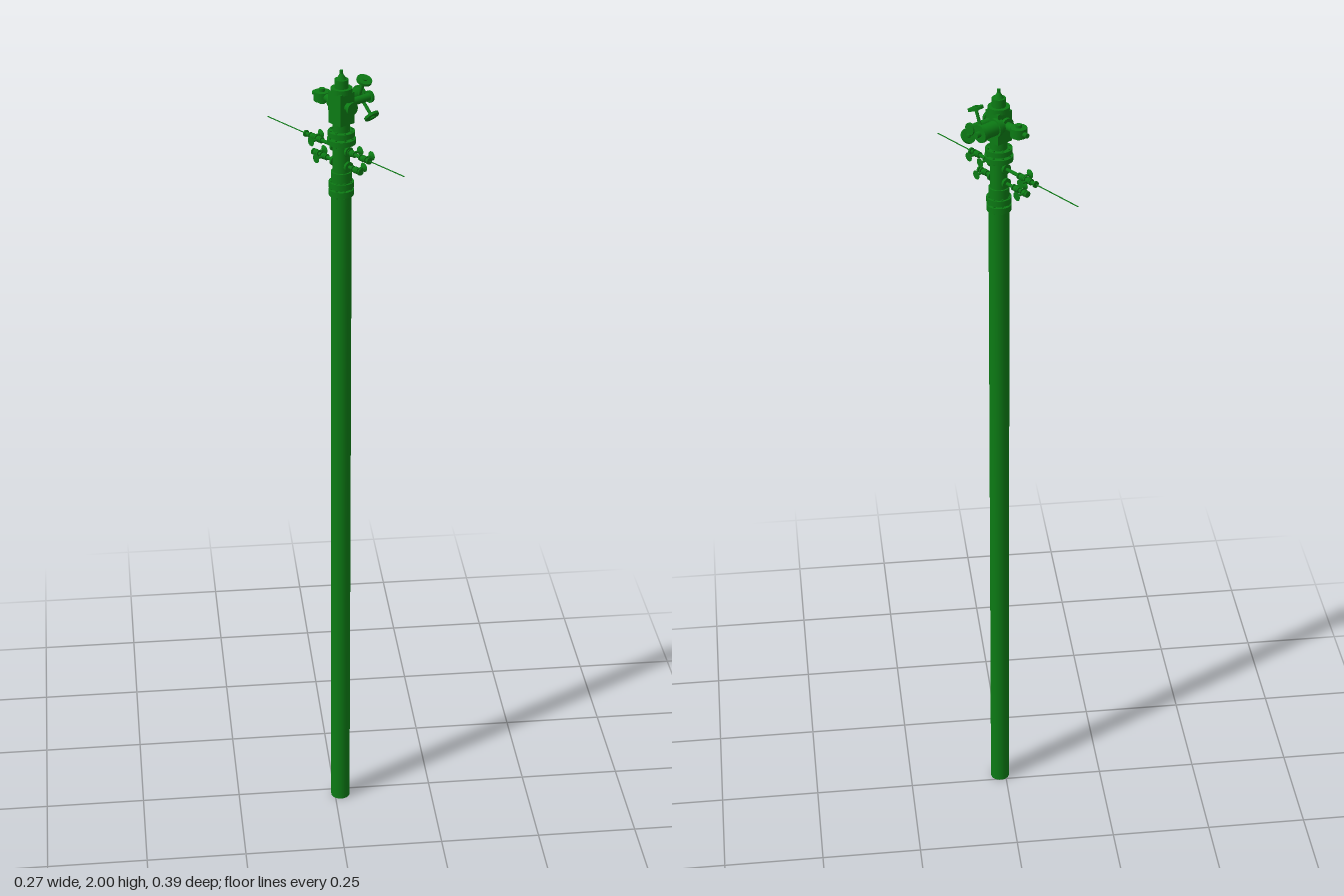
import * as THREE from 'three';

const green = new THREE.MeshStandardMaterial({ color: 0x0c7a14, side: THREE.DoubleSide });

function add(parent, name, geometry, x, y, z) {
  const mesh = new THREE.Mesh(geometry, green);
  mesh.name = name;
  mesh.position.set(x, y, z);
  parent.add(mesh);
  return mesh;
}

// Cylinder centred on a point, lying along the given axis
function rod(parent, name, axis, r, length, x, y, z, sides = 24) {
  const mesh = add(parent, name, new THREE.CylinderGeometry(r, r, length, sides), x, y, z);
  if (axis === 'x') mesh.rotation.z = Math.PI / 2;
  if (axis === 'z') mesh.rotation.x = Math.PI / 2;
  return mesh;
}

// Flange: disc with a ring of bolts, stacked on the vertical bore
function flange(parent, y, r, h) {
  const g = new THREE.Group();
  g.name = 'flange';
  rod(g, 'flangeDisc', 'y', r, h, 0, y, 0, 32);
  for (let i = 0; i < 8; i++) {
    const a = (i + 0.5) * Math.PI / 4;
    rod(g, 'flangeBolt', 'y', 0.0025, h + 0.006, Math.cos(a) * r * 0.83, y, Math.sin(a) * r * 0.83, 6);
  }
  parent.add(g);
}

// Small valve on a branch pipe: bonnet, stem and wheel pointing along x
function smallValve(parent, y, z, side) {
  const g = new THREE.Group();
  g.name = 'smallValve';
  g.position.set(0, y, z);
  add(g, 'valveBody', new THREE.SphereGeometry(0.008, 14, 10), 0, 0, 0);
  rod(g, 'valveStem', 'x', 0.003, 0.022, side * 0.011, 0, 0, 10);
  const wheel = add(g, 'valveWheel', new THREE.CylinderGeometry(0.011, 0.004, 0.005, 18), side * 0.022, 0, 0);
  wheel.rotation.z = -side * Math.PI / 2;
  for (const s of [-1, 1]) rod(g, 'valveCollar', 'z', 0.0075, 0.003, 0, 0, s * 0.009, 14);
  parent.add(g);
}

// Large valve wheel on a stem, tilted up or down about the x axis
function tiltedWheel(parent, y, z, tilt) {
  const g = new THREE.Group();
  g.name = 'handWheel';
  g.position.set(0.056, y, z);
  g.rotation.x = tilt;
  rod(g, 'wheelDisc', 'y', 0.018, 0.006, 0, 0, 0, 28);
  rod(g, 'wheelHub', 'y', 0.006, 0.012, 0, 0, 0, 12);
  rod(g, 'wheelStem', 'y', 0.004, 0.045, 0, -0.022, 0, 10);
  parent.add(g);
}

export function createModel() {
  const model = new THREE.Group();
  model.name = 'wellhead';
  const turned = new THREE.Group();
  turned.name = 'turnedAssembly';
  turned.rotation.y = 0.61;
  model.add(turned);

  // Long thin line through the lower branch
  rod(turned, 'thinLine', 'z', 0.0013, 0.476, 0, 1.811, 0, 8);

  const tree = new THREE.Group();
  tree.name = 'tree';
  tree.position.set(0, 0, 0.025);
  turned.add(tree);

  // Main casing and the narrower spool above it
  rod(tree, 'casing', 'y', 0.024, 1.71, 0, 0.855, 0, 32);
  rod(tree, 'spool', 'y', 0.02, 0.16, 0, 1.78, 0, 32);
  flange(tree, 1.707, 0.029, 0.014);
  flange(tree, 1.726, 0.029, 0.014);
  rod(tree, 'spoolCollar', 'y', 0.024, 0.025, 0, 1.745, 0, 32);
  flange(tree, 1.832, 0.033, 0.012);
  flange(tree, 1.85, 0.031, 0.012);

  // Two tiers of side branches with small valves
  const tiers = [
    { y: 1.811, from: -0.124, to: 0.095, valves: [[-0.1, 1], [-0.078, -1], [0.037, 1], [0.076, 1]] },
    { y: 1.775, from: -0.09, to: 0.066, valves: [[-0.088, 1], [-0.06, -1], [0.05, 1]] },
  ];
  for (const t of tiers) {
    rod(tree, 'branchPipe', 'z', 0.0042, t.to - t.from, 0, t.y, (t.from + t.to) / 2, 14);
    for (const z of [t.from, t.to]) rod(tree, 'branchCap', 'z', 0.008, 0.004, 0, t.y, z, 14);
    for (const s of [-1, 1]) rod(tree, 'branchFlange', 'z', 0.012, 0.006, 0, t.y, s * 0.025, 18);
    for (const [z, side] of t.valves) smallValve(tree, t.y, z, side);
  }

  // Central valve block, upper bonnet and cap
  rod(tree, 'blockNeck', 'y', 0.02, 0.03, 0, 1.87, 0);
  add(tree, 'valveBlock', new THREE.BoxGeometry(0.042, 0.075, 0.042), 0, 1.912, 0);
  rod(tree, 'bonnetFlange', 'y', 0.025, 0.012, 0, 1.953, 0);
  rod(tree, 'bonnet', 'y', 0.016, 0.022, 0, 1.968, 0);
  add(tree, 'capCone', new THREE.CylinderGeometry(0.004, 0.012, 0.014, 20), 0, 1.985, 0);
  rod(tree, 'capStem', 'y', 0.004, 0.012, 0, 1.994, 0, 10);

  // Actuator reaching out sideways
  rod(tree, 'actuator', 'x', 0.017, 0.06, 0.04, 1.92, -0.018);
  rod(tree, 'actuatorFlange', 'x', 0.021, 0.007, 0.07, 1.92, -0.018);
  rod(tree, 'actuatorFlange', 'x', 0.021, 0.007, 0.025, 1.92, -0.018);
  rod(tree, 'actuatorTip', 'x', 0.007, 0.012, 0.078, 1.92, -0.018, 14);
  rod(tree, 'wingPipe', 'x', 0.009, 0.056, 0.044, 1.922, 0.012, 18);
  rod(tree, 'wingCap', 'x', 0.014, 0.006, 0.074, 1.922, 0.012, 18);

  // Wheels tilted above and below the wing pipe
  tiltedWheel(tree, 1.966, 0.014, 0.4);
  tiltedWheel(tree, 1.888, 0.04, 2.3);

  // Wing valve opposite, with an upright drum
  rod(tree, 'wingStem', 'z', 0.01, 0.06, 0, 1.92, -0.038, 18);
  rod(tree, 'wingFlange', 'z', 0.018, 0.007, 0, 1.92, -0.027);
  rod(tree, 'wingDrum', 'y', 0.019, 0.022, 0, 1.92, -0.067, 28);
  rod(tree, 'drumHub', 'y', 0.007, 0.036, 0, 1.92, -0.067, 14);
  rod(tree, 'drumOutlet', 'z', 0.006, 0.012, 0, 1.92, -0.09, 12);

  // Short plugged outlet on the remaining face
  rod(tree, 'outletStub', 'z', 0.01, 0.016, 0, 1.918, 0.027, 18);
  rod(tree, 'outletPlug', 'z', 0.015, 0.006, 0, 1.918, 0.036, 18);
  return model;
}
